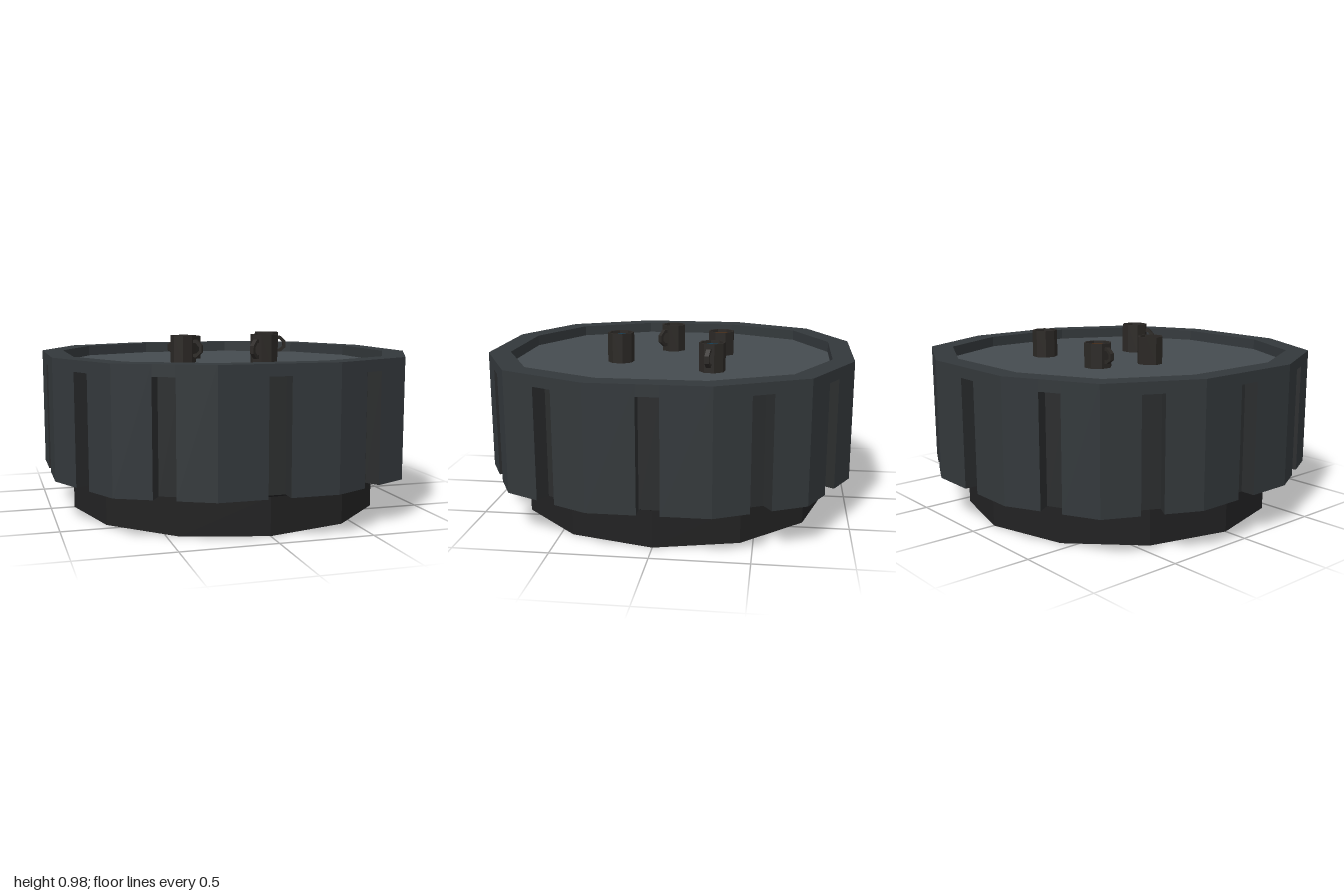
import * as THREE from 'three';

const mat = (color) => new THREE.MeshStandardMaterial({ color, flatShading: true, side: THREE.DoubleSide });
const bodyMat = mat(0x33383b), grooveMat = mat(0x2b2d2e), baseMat = mat(0x222223);
const floorMat = mat(0x454b4f), mugMat = mat(0x2b2825);

// Twelve-sided outline, running from the front towards +x
const outline = [];
for (let q = 0; q < 4; q++) {
  for (const [x, z] of [[-0.31, 1], [0.31, 1], [0.77, 0.77]]) {
    const a = q * Math.PI / 2;
    outline.push([x * Math.cos(a) + z * Math.sin(a), z * Math.cos(a) - x * Math.sin(a)]);
  }
}
const N = outline.length;
const TOP = 0.87, GROOVE_TOP = 0.81, BOTTOM = 0.22, BASE_TOP = 0.2;
const scaled = (s) => outline.map(([x, z]) => [x * s, z * s]);
const at = ([x, z], y) => [x, y, z];
const mix = (a, b, t) => [a[0] + (b[0] - a[0]) * t, a[1] + (b[1] - a[1]) * t];

// Collects flat faces, corners anticlockwise seen from outside
class Faces {
  constructor() { this.p = []; }
  tri(a, b, c) { this.p.push(...a, ...b, ...c); }
  quad(a, b, c, d) { this.tri(a, b, c); this.tri(a, c, d); }
  wall(a, b, y0, y1) { this.quad(at(a, y0), at(b, y0), at(b, y1), at(a, y1)); }
  mesh(name, material) {
    const g = new THREE.BufferGeometry();
    g.setAttribute('position', new THREE.Float32BufferAttribute(this.p, 3));
    g.computeVertexNormals();
    const m = new THREE.Mesh(g, material);
    m.name = name;
    return m;
  }
}

function buildTable() {
  const table = new THREE.Group();
  table.name = 'table';
  const side = new Faces(), groove = new Faces(), rim = new Faces();
  const ledge = new Faces(), base = new Faces(), floor = new Faces();
  const inner = scaled(0.885), tuck = scaled(0.92);
  // Base corners sit below the grooves
  const foot = outline.map((_, i) => {
    const a = i * Math.PI / 6;
    return [0.87 * Math.sin(a), 0.87 * Math.cos(a)];
  });

  for (let i = 0; i < N; i++) {
    const j = (i + 1) % N;
    const A = outline[i], B = outline[j], a = tuck[i], b = tuck[j];
    const half = 0.058 / Math.hypot(B[0] - A[0], B[1] - A[1]);
    const G = mix(A, B, 0.5 - half), H = mix(A, B, 0.5 + half);
    const mid = mix(A, B, 0.5);
    const g = [G[0] - mid[0] * 0.08, G[1] - mid[1] * 0.08];
    const h = [H[0] - mid[0] * 0.08, H[1] - mid[1] * 0.08];

    // side panels around the groove
    side.wall(A, G, BOTTOM, TOP);
    side.wall(H, B, BOTTOM, TOP);
    side.wall(G, H, GROOVE_TOP, TOP);
    // groove recess, open at the bottom
    groove.wall(G, g, BOTTOM, GROOVE_TOP);
    groove.wall(g, h, BOTTOM, GROOVE_TOP);
    groove.wall(h, H, BOTTOM, GROOVE_TOP);
    groove.quad(at(g, GROOVE_TOP), at(h, GROOVE_TOP), at(H, GROOVE_TOP), at(G, GROOVE_TOP));
    // rim top and its inner wall
    rim.quad(at(A, TOP), at(B, TOP), at(inner[j], TOP), at(inner[i], TOP));
    rim.wall(inner[j], inner[i], GROOVE_TOP, TOP);
    floor.tri([0, GROOVE_TOP, 0], at(inner[i], GROOVE_TOP), at(inner[j], GROOVE_TOP));
    // underside ledge, then a slope in to the base
    ledge.quad(at(a, BOTTOM), at(g, BOTTOM), at(G, BOTTOM), at(A, BOTTOM));
    ledge.quad(at(h, BOTTOM), at(b, BOTTOM), at(B, BOTTOM), at(H, BOTTOM));
    const F = at(foot[i], BASE_TOP);
    ledge.tri(F, at(g, BOTTOM), at(a, BOTTOM));
    ledge.tri(F, at(h, BOTTOM), at(g, BOTTOM));
    ledge.tri(F, at(b, BOTTOM), at(h, BOTTOM));
    ledge.tri(F, at(foot[j], BASE_TOP), at(b, BOTTOM));
    base.wall(foot[i], foot[j], 0, BASE_TOP);
  }
  table.add(side.mesh('sidePanels', bodyMat), groove.mesh('grooves', grooveMat),
    rim.mesh('rim', bodyMat), floor.mesh('tableTop', floorMat),
    ledge.mesh('ledge', baseMat), base.mesh('base', baseMat));
  return table;
}

// Eight-sided mug; the handle leaves a flat side towards local +x
function buildMug(r, h, drinkColor) {
  const mug = new THREE.Group();
  mug.name = 'mug';
  const ri = r - 0.011, level = h - 0.016;
  const profile = [[0, 0], [r, 0], [r, h], [ri, h], [ri, level]].map(([x, y]) => new THREE.Vector2(x, y));
  const cup = new THREE.Mesh(new THREE.LatheGeometry(profile, 8, Math.PI / 8), mugMat);
  cup.name = 'cup';

  const drink = new THREE.Mesh(new THREE.CircleGeometry(ri, 8, Math.PI / 8), mat(drinkColor));
  drink.rotation.x = -Math.PI / 2;
  drink.position.y = level;
  drink.name = 'drink';

  const w = r * Math.cos(Math.PI / 8) - 0.004;
  const pts = (list) => list.map(([x, y]) => new THREE.Vector2(x, y));
  const shape = new THREE.Shape(pts([
    [w, 0.2 * h], [w + 0.022, 0.2 * h], [w + 0.055, 0.38 * h], [w + 0.055, 0.64 * h],
    [w + 0.022, 0.84 * h], [w, 0.84 * h], [w, 0.72 * h], [w + 0.018, 0.72 * h],
    [w + 0.039, 0.58 * h], [w + 0.039, 0.44 * h], [w + 0.018, 0.32 * h], [w, 0.32 * h]]));
  const geo = new THREE.ExtrudeGeometry(shape, { depth: 0.024, bevelEnabled: false });
  geo.translate(0, 0, -0.012);
  const handle = new THREE.Mesh(geo, mugMat);
  handle.name = 'handle';
  mug.add(cup, drink, handle);
  return mug;
}

export function createModel() {
  const model = new THREE.Group();
  model.name = 'tableWithMugs';
  model.add(buildTable());
  // x, z, radius, height, handle direction (x, z), drink colour
  const mugs = [
    [-0.14, -0.26, 0.077, 0.135, -1, 0, 0x5a3010],
    [-0.24, -0.035 + 0.07, 0.072, 0.153, 0.8, 0.6, 0x43300f],
    [0.16, 0.28, 0.074, 0.165, -0.78, 0.62, 0x123c54],
    [0.36, -0.25, 0.072, 0.154, 0.98, 0.17, 0x123c54],
  ];
  for (const [x, z, r, h, dx, dz, color] of mugs) {
    const mug = buildMug(r, h, color);
    mug.position.set(x, GROOVE_TOP, z);
    mug.rotation.y = Math.atan2(-dz, dx);
    model.add(mug);
  }
  return model;
}
